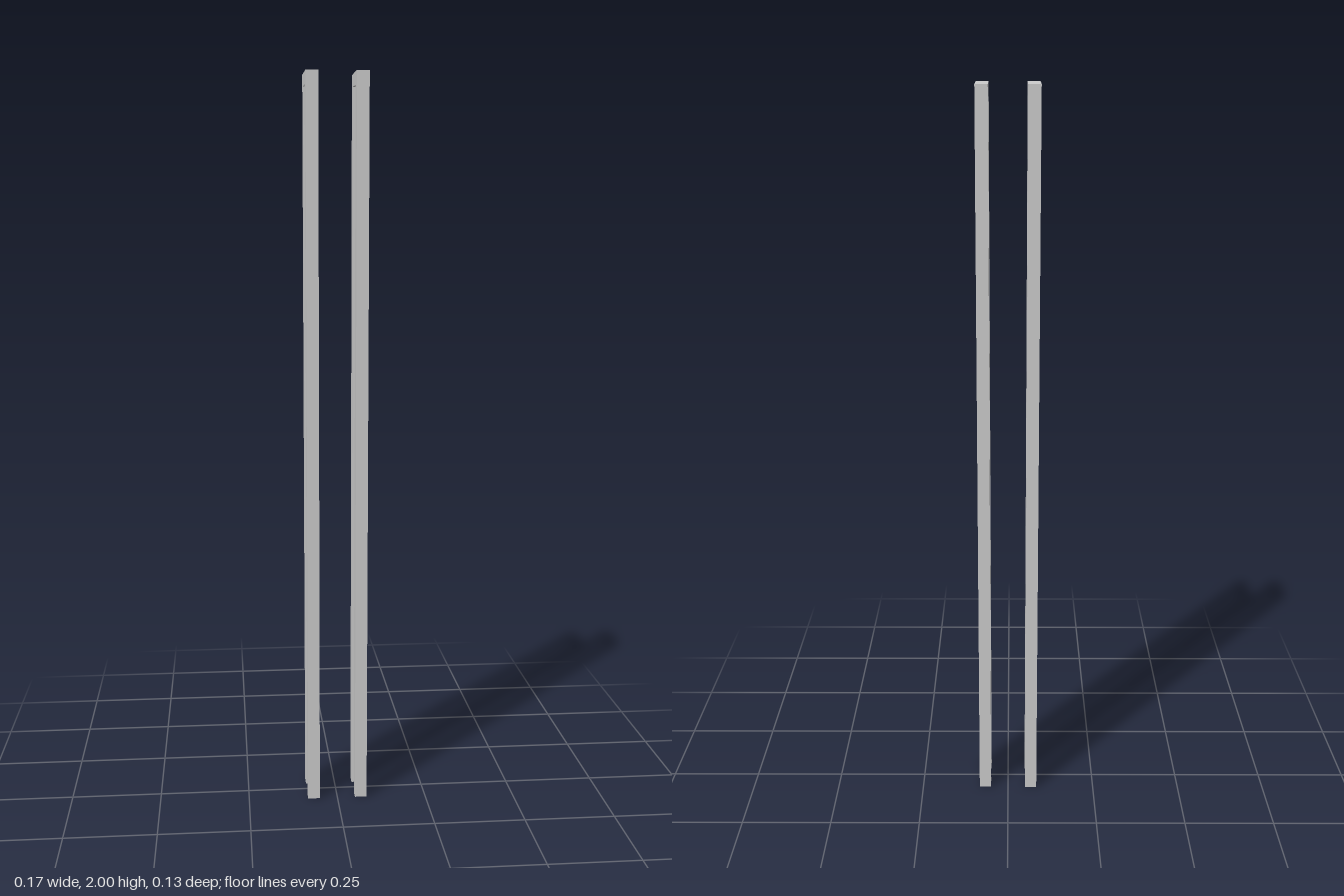
import * as THREE from 'three';

const BAR = 1 / 30;      // square bar thickness
const HEIGHT = 2;
const DEPTH = 4 * BAR;   // frame size along z
const SPACING = 4 * BAR; // distance between frame centres along x

// Upside-down U outline: two legs joined by a top rail
function frameGeometry() {
  const o = DEPTH / 2, i = o - BAR, t = HEIGHT - BAR;
  const outline = [[-o, 0], [-i, 0], [-i, t], [i, t], [i, 0], [o, 0], [o, HEIGHT], [-o, HEIGHT]];
  const shape = new THREE.Shape(outline.map(([x, y]) => new THREE.Vector2(x, y)));
  const geometry = new THREE.ExtrudeGeometry(shape, { depth: BAR, bevelEnabled: false });
  geometry.translate(0, 0, -BAR / 2);
  geometry.rotateY(Math.PI / 2);
  return geometry;
}

export function createModel() {
  const model = new THREE.Group();
  model.name = 'legFramePair';
  const material = new THREE.MeshStandardMaterial({ color: 0xcccccc });
  const geometry = frameGeometry();

  // Matching frames on either side
  for (const [name, side] of [['leftFrame', 1], ['rightFrame', -1]]) {
    const frame = new THREE.Mesh(geometry, material);
    frame.name = name;
    frame.position.x = side * SPACING / 2;
    model.add(frame);
  }
  return model;
}
